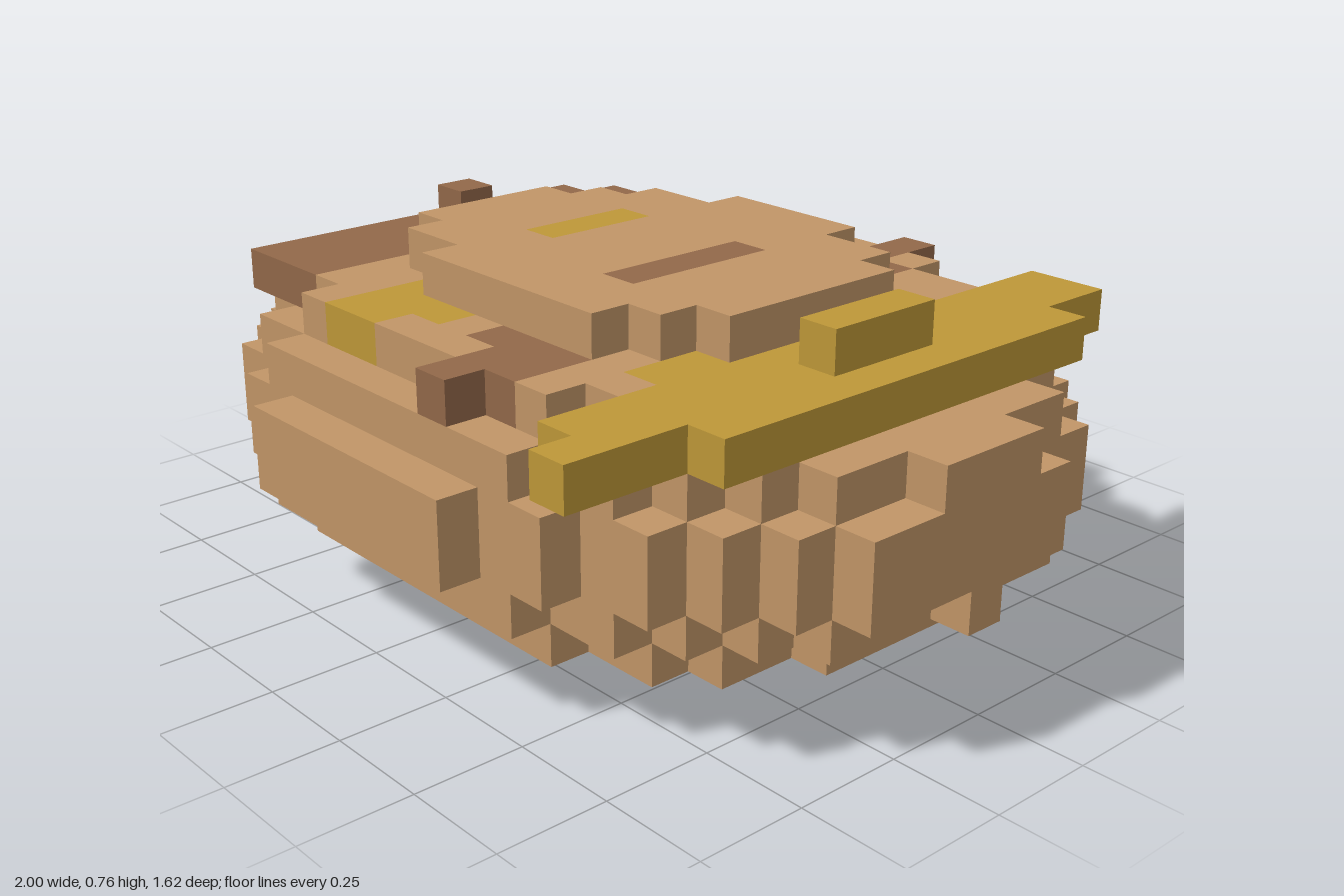
import * as THREE from 'three';
import { mergeGeometries } from 'three/addons/utils/BufferGeometryUtils.js';

const NX = 21, NZ = 17, U = 2 / NX; // grid columns, rows and cell size

const mat = (name, color) => new THREE.MeshStandardMaterial({ name, color });

export function createModel() {
  const tan = mat('tan', 0xc19567);
  const brown = mat('brown', 0x926849);
  const ochre = mat('ochre', 0xbe9738);

  // Squashed ball of cells: each layer is an ellipse, given by its squared scale
  const layers = [
    ['base', 0.2304], ['lowerBody', 0.672], ['lowerBand', 0.878], ['middleBand', 1],
    ['middleBandTop', 1], ['upperBand', 0.9], ['upperBody', 0.672], ['topPlate', 0.297],
  ];
  const inEllipse = (i, k, s2) => ((i - 10.1) / 10.58) ** 2 + ((k - 8.2) / 8.19) ** 2 <= s2;

  const cells = layers.map(([name, s2]) =>
    Array.from({ length: NZ }, (_, k) =>
      Array.from({ length: NX }, (_, i) => (inEllipse(i, k, s2) ? name : null))));

  const materials = new Map(layers.map(([name]) => [name, tan]));

  // Adds or recolours blocks on one layer: [first row, last row, first column, last column]
  const paint = (name, material, layer, ...blocks) => {
    materials.set(name, material);
    for (const [k0, k1, i0, i1] of blocks)
      for (let k = k0; k <= k1; k++) cells[layer][k].fill(name, i0, i1 + 1);
  };

  // Bands along both sides, each with a block on top
  paint('rightBand', brown, 6, [3, 3, 3, 4], [4, 13, 2, 4], [6, 6, 5, 5], [10, 10, 5, 5]);
  paint('rightBandBlock', brown, 7, [8, 8, 3, 3]);
  paint('leftBand', ochre, 6, [1, 15, 16, 17], [3, 13, 18, 18], [16, 16, 17, 17],
    [5, 6, 15, 15], [11, 12, 15, 15]);
  paint('leftBandBlock', ochre, 7, [7, 9, 17, 17]);

  // Patches around and on the top plate
  paint('backBrownPatch', brown, 6, [1, 2, 12, 12], [3, 3, 11, 13], [4, 4, 12, 13]);
  paint('frontBrownPatch', brown, 6, [12, 14, 13, 13], [13, 13, 11, 12], [14, 15, 12, 12]);
  paint('backOchrePatch', ochre, 6, [2, 4, 8, 8], [3, 4, 7, 7]);
  paint('frontOchrePatch', ochre, 6, [12, 14, 7, 8], [13, 13, 9, 9]);
  paint('topBrownStripe', brown, 7, [7, 10, 12, 12]);
  paint('topOchreStripe', ochre, 7, [7, 9, 8, 8]);

  // Small knob at the back
  paint('backKnob', tan, 4, [0, 0, 10, 10]);

  // Join equal neighbours in each row into boxes, then gather one mesh per part
  const boxes = new Map([...materials.keys()].map((name) => [name, []]));
  cells.forEach((layer, j) => layer.forEach((row, k) => {
    for (let i = 0, n; i < NX; i += n) {
      for (n = 1; i + n < NX && row[i + n] === row[i];) n++;
      if (row[i] === null) continue;
      boxes.get(row[i]).push(new THREE.BoxGeometry(n * U, U, U).translate(
        (i + n / 2 - NX / 2) * U, (j + 0.5) * U, (k + 0.5 - NZ / 2) * U));
    }
  }));

  const model = new THREE.Group();
  model.name = 'blockModel';
  for (const [name, list] of boxes) {
    const mesh = new THREE.Mesh(mergeGeometries(list), materials.get(name));
    mesh.name = name;
    model.add(mesh);
  }
  return model;
}
